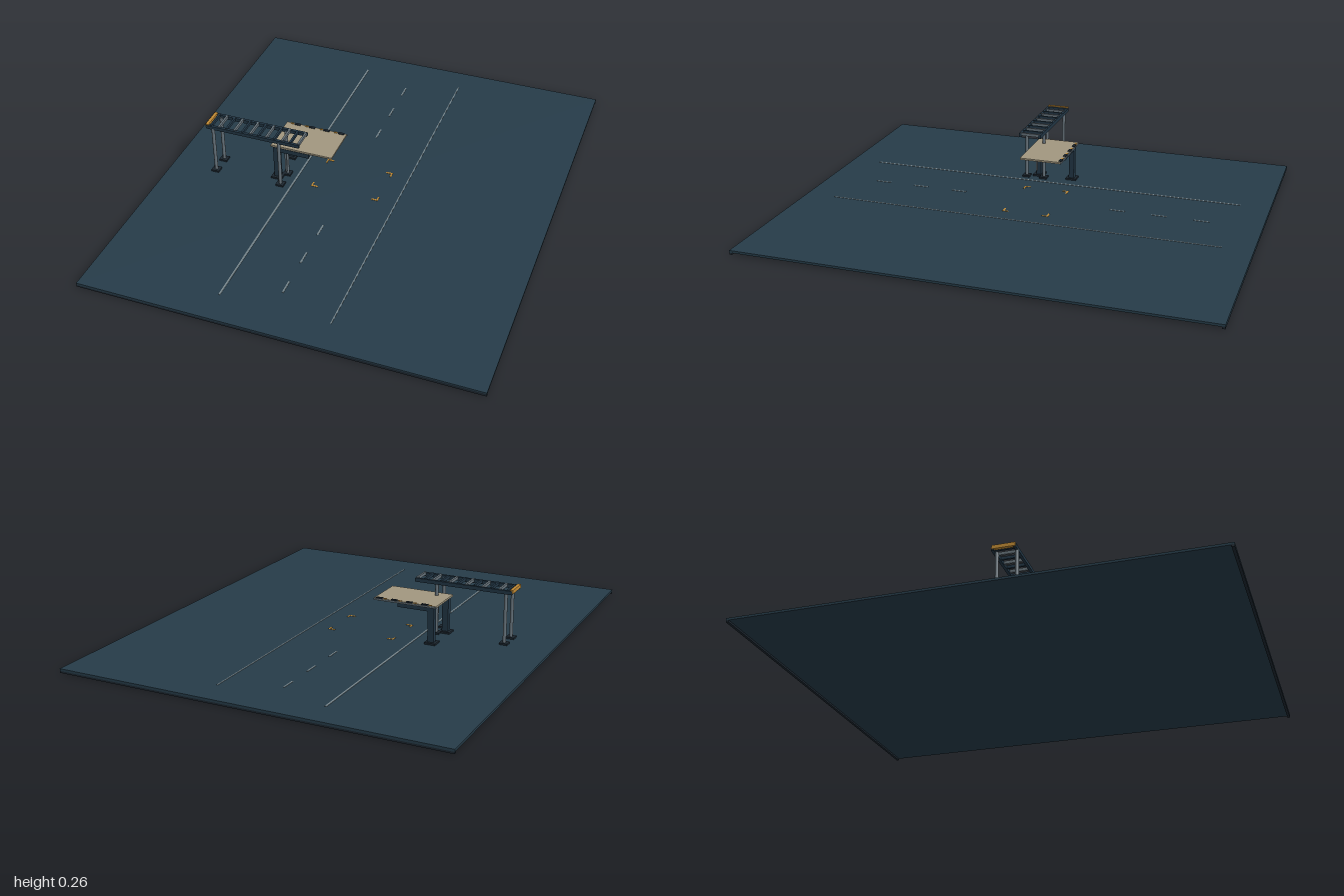
import * as THREE from 'three';

const mat = (name, color) => {
  const m = new THREE.MeshStandardMaterial({ color });
  m.name = name;
  return m;
};

export function createModel() {
  const model = new THREE.Group();
  const ground = mat('slate ground', 0x263c49);
  const navy = mat('dark navy steel', 0x223645);
  const dark = mat('charcoal frame', 0x1c262f);
  const steel = mat('grey steel', 0x66727a);
  const line = mat('pale marking', 0x76848a);
  const tan = mat('tan deck', 0xa1977f);
  const orange = mat('amber', 0xc08a35);

  // Box given by its extents on each axis
  const box = (name, m, [x0, x1], [y0, y1], [z0, z1], parent = model) => {
    const mesh = new THREE.Mesh(new THREE.BoxGeometry(x1 - x0, y1 - y0, z1 - z0), m);
    mesh.position.set((x0 + x1) / 2, (y0 + y1) / 2, (z0 + z1) / 2);
    mesh.name = name;
    parent.add(mesh);
    return mesh;
  };
  const group = (name) => {
    const g = new THREE.Group();
    g.name = name;
    model.add(g);
    return g;
  };
  const around = (c, half) => [c - half, c + half];
  const top = 0.018;

  // Ground slab with downturned front and back edges
  box('groundSlab', ground, [-0.845, 0.845], [0.008, top], [-1, 1]);
  for (const s of [-1, 1]) box('edgeBeam', dark, [-0.845, 0.845], [0, 0.012], around(s * 0.994, 0.006));

  // Lane markings
  const lanes = group('laneMarkings');
  const paint = [top, top + 0.0015];
  box('leftLine', line, around(-0.281, 0.004), paint, [-0.87, 0.865], lanes);
  box('rightLine', line, around(0.19, 0.0025), paint, [-0.87, 0.865], lanes);
  for (const z of [-0.742, -0.557, -0.372, 0.365, 0.55, 0.735])
    box('laneDash', line, around(-0.051, 0.0035), paint, around(z, 0.034), lanes);

  // Corner brackets of the marked bay
  const bay = group('bayCorners');
  for (const sx of [-1, 1]) for (const sz of [-1, 1]) {
    const x = -0.045 + sx * 0.152, z = -0.004 + sz * 0.1;
    box('bayCornerAcross', orange, around(x - sx * 0.012, 0.015), paint, around(z, 0.004), bay);
    box('bayCornerAlong', orange, around(x, 0.003), paint, around(z - sz * 0.012, 0.012), bay);
  }

  // Cantilever platform: columns, arms and deck
  const platform = group('platform');
  for (const z of [-0.075, 0.083]) {
    box('columnBase', dark, [-0.388, -0.338], [top, 0.026], around(z, 0.024), platform);
    box('column', navy, [-0.376, -0.348], [top, 0.18], around(z, 0.012), platform);
    box('arm', navy, [-0.376, -0.21], [0.16, 0.181], around(z, 0.011), platform);
  }
  box('deck', tan, [-0.388, -0.104], [0.181, 0.189], [-0.095, 0.092], platform);
  box('deckEdge', steel, [-0.39, -0.102], [0.18, 0.187], [-0.098, -0.095], platform);
  for (let i = 0; i < 4; i++) {
    const x = -0.335 + i * 0.069;
    box('edgeBlock', dark, around(x, 0.014), [0.187, 0.192], around(-0.09, 0.006), platform);
    box('edgeMarker', orange, around(x - 0.026, 0.007), [0.188, 0.191], around(-0.091, 0.004), platform);
  }
  box('downpipe', steel, [-0.326, -0.318], [0.055, 0.17], around(0.083, 0.004), platform);

  // Ladder-like gantry on four posts
  const gantry = group('gantry');
  for (const x of [-0.64, -0.33]) for (const z of [0.052, 0.135]) {
    const post = new THREE.Mesh(new THREE.CylinderGeometry(0.0075, 0.0075, 0.228, 12), steel);
    post.position.set(x, 0.132, z);
    post.name = 'post';
    gantry.add(post);
    box('postBase', dark, around(x, 0.018), [top, 0.026], around(z, 0.017), gantry);
  }
  for (const z of [0.043, 0.135])
    box('sideRail', navy, [-0.67, -0.234], [0.241, 0.257], around(z, 0.006), gantry);
  for (let i = 0; i < 12; i++)
    box('rung', i % 2 ? steel : navy, around(-0.65 + i * 0.0373, 0.0045), [0.247, 0.26], [0.043, 0.135], gantry);
  box('endBar', orange, [-0.674, -0.66], [0.246, 0.262], [0.04, 0.138], gantry);

  return model;
}
